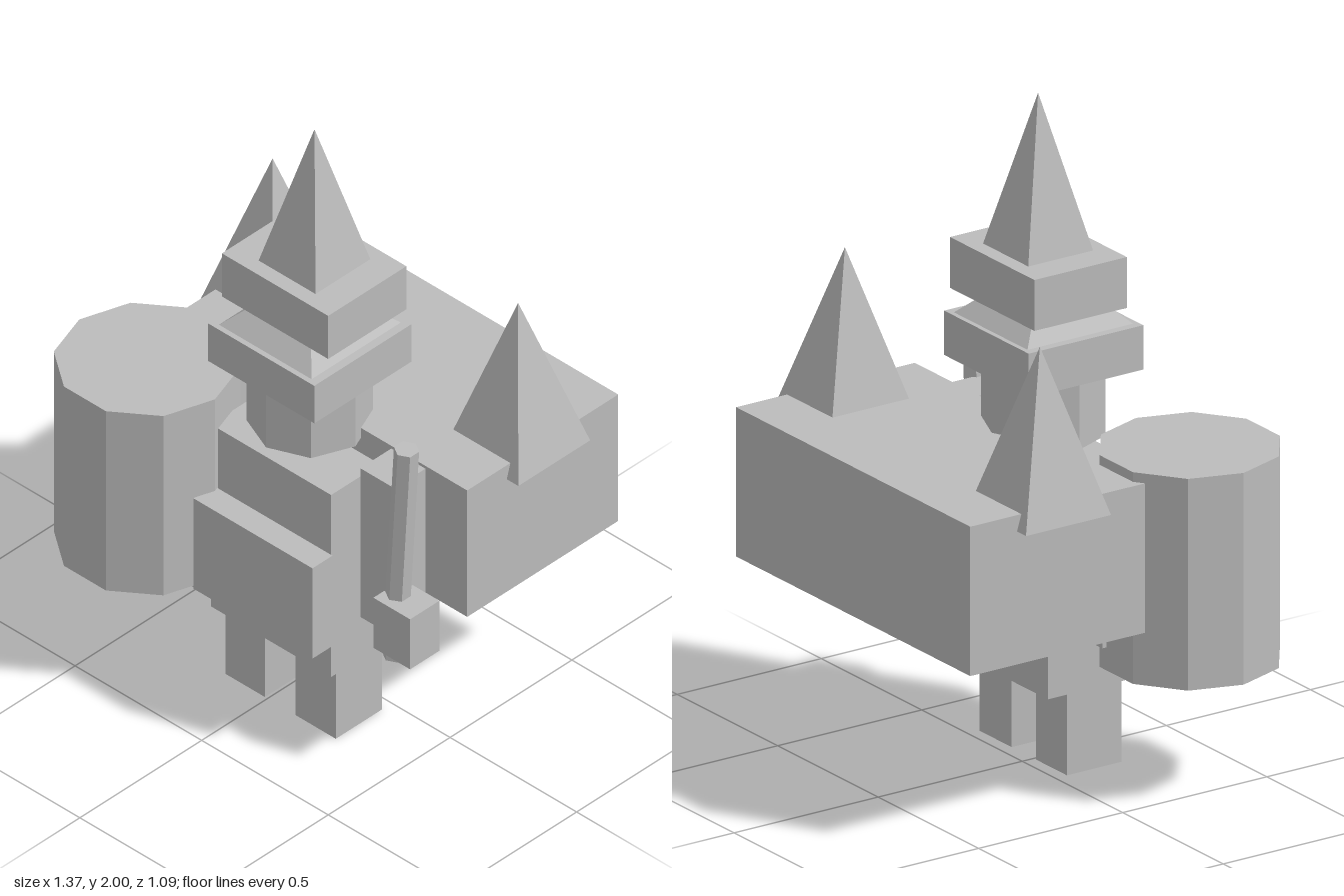
import * as THREE from 'three';

export function createModel() {
  const model = new THREE.Group();
  const clay = new THREE.MeshStandardMaterial({ color: 0xbcbcbc, flatShading: true });
  clay.name = 'light grey';

  function add(name, geometry, x, y, z) {
    const mesh = new THREE.Mesh(geometry, clay);
    mesh.name = name;
    mesh.position.set(x, y, z);
    model.add(mesh);
    return mesh;
  }

  // Box given by its [min, max] along each axis
  function box(name, [x0, x1], [y0, y1], [z0, z1]) {
    return add(name, new THREE.BoxGeometry(x1 - x0, y1 - y0, z1 - z0),
      (x0 + x1) / 2, (y0 + y1) / 2, (z0 + z1) / 2);
  }

  // Four-sided pyramid with its edges along x and z
  function pyramid(name, x, z, width, depth, y0, y1) {
    const geometry = new THREE.ConeGeometry(Math.SQRT1_2, 1, 4);
    geometry.rotateY(Math.PI / 4);
    geometry.scale(width, y1 - y0, depth);
    return add(name, geometry, x, (y0 + y1) / 2, z);
  }

  // Legs and body
  box('rightLeg', [-0.165, -0.01], [0, 0.255], [0.04, 0.23]);
  box('leftLeg', [0.11, 0.27], [0, 0.255], [0.04, 0.23]);
  box('body', [-0.185, 0.29], [0.255, 0.91], [-0.04, 0.27]);
  box('apron', [-0.17, 0.3], [0.375, 0.7], [0.275, 0.357]);

  // Arms
  box('leftArm', [0.335, 0.47], [0.455, 0.99], [0.02, 0.197]);
  box('rightArm', [-0.37, -0.232], [0.455, 0.99], [0.02, 0.197]);

  // Head, brims and pointed hat
  add('head', new THREE.CylinderGeometry(0.18, 0.18, 0.21, 8), 0.052, 1.07, 0.11);
  box('lowerBrim', [-0.158, 0.262], [1.175, 1.31], [-0.088, 0.31]);
  pyramid('brimSlope', 0.052, 0.11, 0.366, 0.366, 1.31, 1.49);
  box('upperBrim', [-0.158, 0.262], [1.375, 1.53], [-0.068, 0.253]);
  pyramid('hat', 0.053, 0.092, 0.225, 0.225, 1.53, 2);

  // Pack on the back with a peg below and two spikes
  box('pack', [-0.53, 0.635], [0.545, 1], [-0.55, 0.07]);
  box('peg', [0.142, 0.268], [0.42, 0.545], [-0.307, -0.222]);
  pyramid('rightSpike', -0.432, -0.24, 0.285, 0.295, 0.95, 1.45);
  pyramid('leftSpike', 0.538, -0.24, 0.285, 0.295, 0.95, 1.45);

  // Ten-sided barrel
  const barrel = add('barrel', new THREE.CylinderGeometry(0.268, 0.268, 0.645, 10), -0.418, 0.707, 0.29);
  barrel.rotation.y = Math.PI / 10;

  // Club held in the left hand
  box('leftHand', [0.43, 0.575], [0.42, 0.6], [0.122, 0.242]);
  const club = add('club', new THREE.CylinderGeometry(0.037, 0.037, 0.765, 6), 0.479, 0.757, 0.181);
  club.rotation.z = -0.061;

  return model;
}
